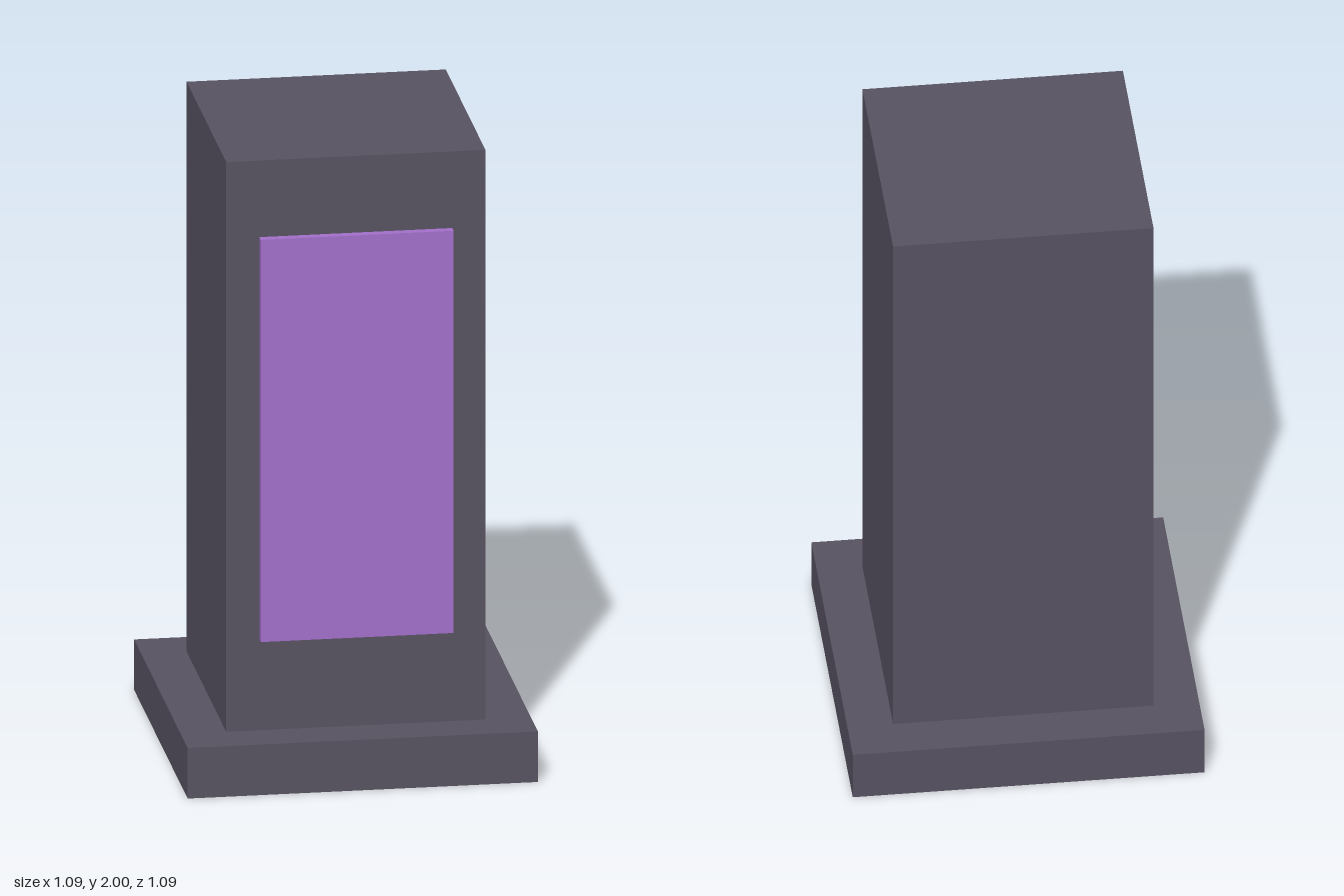
import * as THREE from 'three';

export function createModel() {
  const stone = new THREE.MeshStandardMaterial({ color: 0x575261 });
  stone.name = 'dark stone';
  const violet = new THREE.MeshStandardMaterial({ color: 0xa36fcb });
  violet.name = 'violet panel';

  const model = new THREE.Group();
  model.name = 'pedestalPillar';

  // Adds a box spanning bottom to top, centred on x = 0 and the given z
  function addBox(name, width, bottom, top, depth, z, material) {
    const mesh = new THREE.Mesh(new THREE.BoxGeometry(width, top - bottom, depth), material);
    mesh.name = name;
    mesh.position.set(0, (bottom + top) / 2, z);
    model.add(mesh);
  }

  // Square plinth
  addBox('base', 1.086, 0, 0.163, 1.086, 0, stone);
  // Tall square column
  addBox('column', 0.804, 0.163, 2, 0.804, 0, stone);
  // Raised panel on the front face, slightly sunk into the column
  addBox('frontPanel', 0.598, 0.456, 1.753, 0.04, 0.41, violet);

  return model;
}
